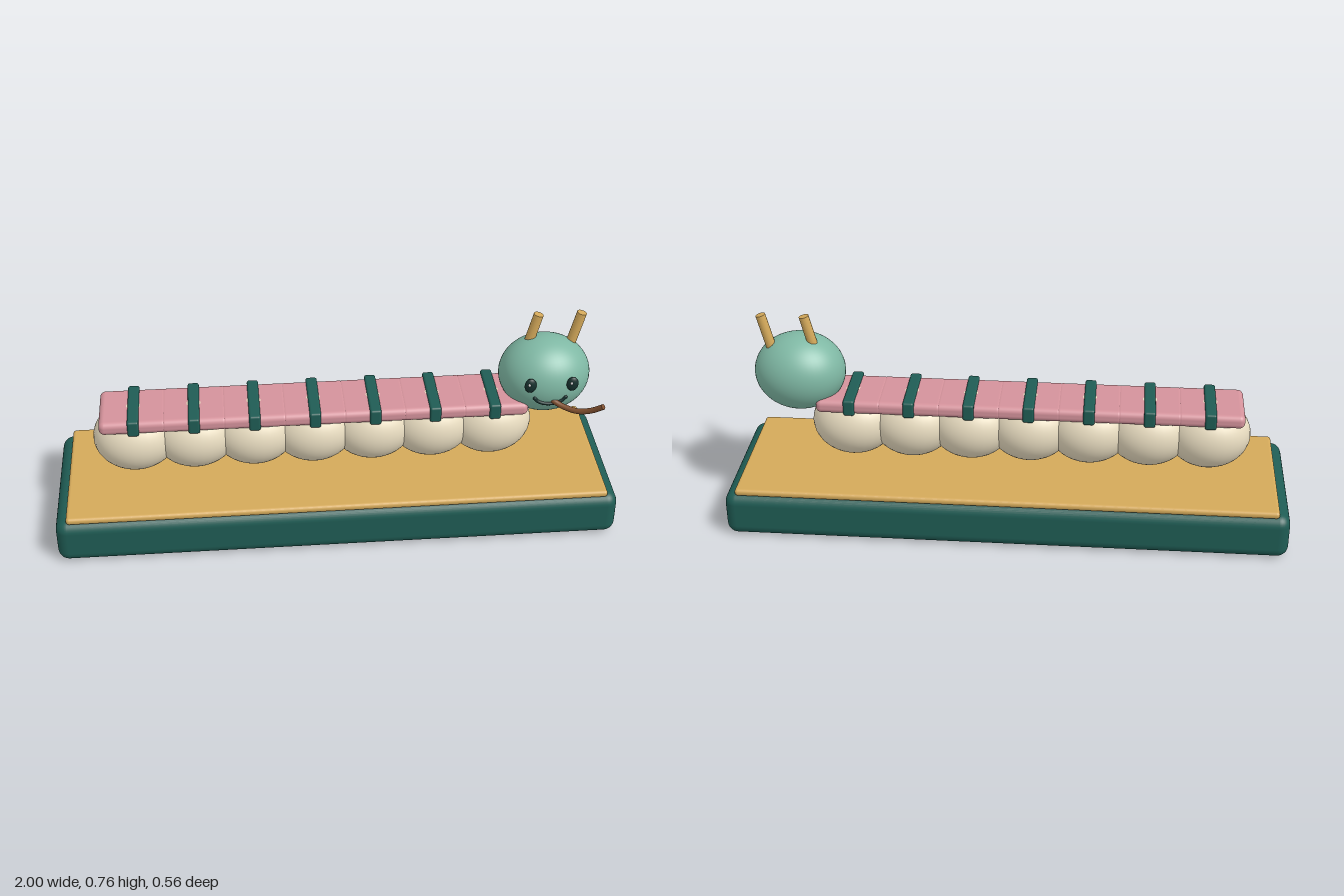
import * as THREE from 'three';
import { RoundedBoxGeometry } from 'three/addons/geometries/RoundedBoxGeometry.js';

const mat = (color) => new THREE.MeshStandardMaterial({ color });
const teal = mat(0x1f5c54), gold = mat(0xd4a95a), cream = mat(0xe8dcc0), pink = mat(0xd4929b);
const green = mat(0x7fb8a4), brown = mat(0x80502f), dark = mat(0x16302d), white = mat(0xffffff);

export function createModel() {
  const model = new THREE.Group();
  model.name = 'caterpillarOnStand';

  const add = (name, geometry, material, x, y, z, parent = model) => {
    const mesh = new THREE.Mesh(geometry, material);
    mesh.name = name;
    mesh.position.set(x, y, z);
    parent.add(mesh);
    return mesh;
  };
  const box = (w, h, d, r) => new RoundedBoxGeometry(w, h, d, 4, r);
  const ellipsoid = (rx, ry, rz, n = 32) => new THREE.SphereGeometry(1, n, n * 0.75).scale(rx, ry, rz);

  // Stand: thick base with a thin top plate
  add('base', box(2, 0.165, 0.56, 0.04), teal, 0, 0.0825, 0);
  add('topPlate', box(1.92, 0.026, 0.54, 0.012), gold, 0, 0.173, 0);

  // Body: seven segments, each with an overlapping pad and a strap
  const segment = ellipsoid(0.15, 0.126, 0.127);
  const pad = box(0.24, 0.05, 0.22, 0.02);
  const strap = box(0.04, 0.06, 0.234, 0.008);
  for (let i = 0; i < 7; i++) {
    const x = -0.709 + i * 0.212;
    add('bodySegment', segment, cream, x, 0.346, 0);
    add('backPad', pad, pink, x, 0.445, 0);
    add('strap', strap, teal, x, 0.448, 0);
  }

  // Head
  const head = new THREE.Group();
  head.name = 'head';
  head.position.set(0.75, 0.537, 0);
  model.add(head);
  add('skull', ellipsoid(0.162, 0.14, 0.14, 48), green, 0, 0, 0, head);

  // Antennae lean the same way; eyes are mirrored
  for (const s of [-1, 1]) {
    const antenna = add('antenna', new THREE.CylinderGeometry(0.0175, 0.0175, 0.16, 20), gold,
      -0.049 + (s + 1) * 0.0765, 0.145, -0.024, head);
    antenna.rotation.z = -0.24;
    add('eye', ellipsoid(0.021, 0.028, 0.012, 20), dark, s * 0.074, 0.03, 0.132, head);
    add('eyeHighlight', ellipsoid(0.005, 0.005, 0.005, 10), white, s * 0.074 - 0.006, 0.039, 0.143, head);
  }

  // Smile: arc bent to the face
  const smilePoints = [];
  for (let i = 0; i <= 8; i++) {
    const a = Math.PI * (1.08 + 0.84 * i / 8);
    const x = 0.056 * Math.cos(a), y = -0.018 + 0.032 * Math.sin(a);
    smilePoints.push(new THREE.Vector3(x, y, 0.14 * Math.sqrt(1 - (x / 0.162) ** 2 - (y / 0.14) ** 2)));
  }
  const smile = new THREE.CatmullRomCurve3(smilePoints);
  add('smile', new THREE.TubeGeometry(smile, 24, 0.007, 10), dark, 0, 0, 0, head);
  for (const p of [smilePoints[0], smilePoints[8]]) {
    add('smileEnd', ellipsoid(0.007, 0.007, 0.007, 10), dark, p.x, p.y, p.z, head);
  }

  // Curved stem held in the mouth
  const stem = new THREE.CatmullRomCurve3([
    [0, -0.034, 0.12], [0.04, -0.051, 0.148], [0.09, -0.053, 0.182], [0.13, -0.034, 0.208], [0.163, -0.002, 0.234],
  ].map((p) => new THREE.Vector3(...p)));
  add('stem', new THREE.TubeGeometry(stem, 28, 0.01, 12), brown, 0, 0, 0, head);
  const tip = add('stemTip', new THREE.CircleGeometry(0.01, 12), brown, 0.163, -0.002, 0.234, head);
  tip.quaternion.setFromUnitVectors(new THREE.Vector3(0, 0, 1), stem.getTangent(1));

  return model;
}
